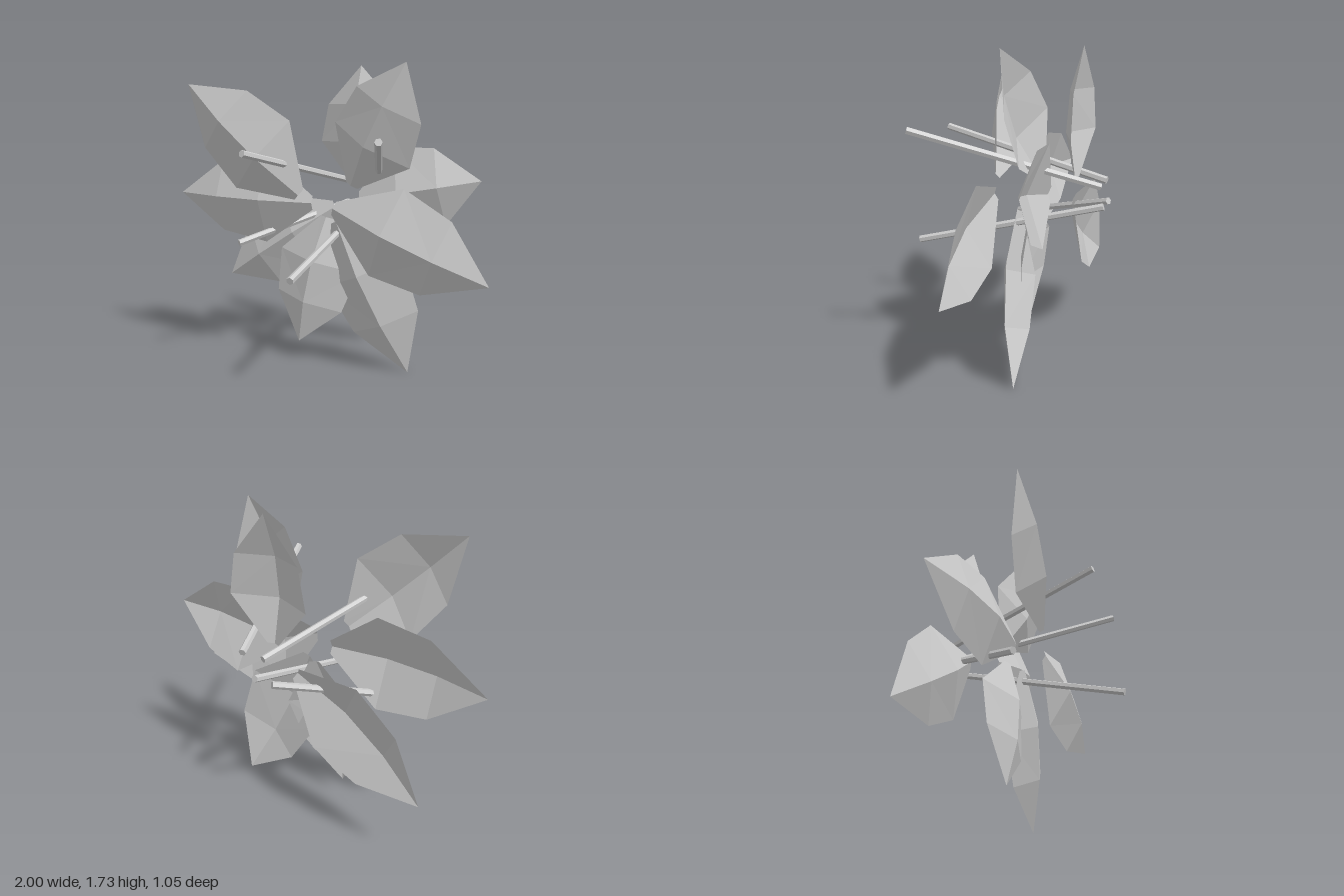
import * as THREE from 'three';

const V = (a) => new THREE.Vector3(...a);
const grey = new THREE.MeshStandardMaterial({ color: 0xcccccc, side: THREE.DoubleSide, flatShading: true });
grey.name = 'plainGrey';

// Each petal: base point, tip point
const PETALS = [
  [[-0.03, 1.01, 0.12], [-0.67, 1.61, 0.25]],
  [[-0.04, 0.945, -0.045], [-1.0, 0.95, -0.06]],
  [[-0.04, 0.89, -0.33], [-0.81, 0.39, -0.31]],
  [[0.02, 0.86, -0.11], [-0.13, 0.115, -0.045]],
  [[0.11, 0.85, -0.06], [0.51, 0.0, -0.17]],
  [[0.15, 0.94, 0.055], [1.0, 0.595, 0.0]],
  [[0.16, 0.96, -0.25], [0.85, 1.09, -0.32]],
  [[0.13, 1.04, -0.2], [0.495, 1.715, -0.1]],
  [[0.08, 1.04, -0.37], [0.09, 1.725, -0.4]],
];

// Cross-sections along a petal: position, half width, edge depth, ridge height
const SECTIONS = [
  [0, 0.04, -0.005, 0.01],
  [0.345, 0.262, -0.027, 0.07],
  [0.67, 0.217, -0.015, 0.06],
  [1, 0, 0, 0],
];

// Each stem: front end, back end
const STEMS = [
  [[-0.43, 0.705, 0.125], [-0.045, 0.9, -0.52]],
  [[-0.155, 1.25, 0.47], [0.012, 1.025, -0.52]],
  [[0.158, 0.638, 0.52], [0.078, 0.895, -0.52]],
  [[0.555, 1.32, 0.37], [0.16, 1.02, -0.52]],
];

// Folded sheet with a raised ridge down its middle
function petal([b, t]) {
  const base = V(b), tip = V(t);
  const dir = tip.clone().sub(base).normalize();
  const side = dir.clone().cross(new THREE.Vector3(0, 0, 1)).normalize();
  const out = side.clone().cross(dir);
  const rows = SECTIONS.map(([s, w, edge, ridge]) => [-1, 0, 1].map((k) =>
    base.clone().lerp(tip, s).addScaledVector(side, k * w).addScaledVector(out, k ? edge : ridge)));
  const pts = [];
  for (let i = 0; i < rows.length - 1; i++) {
    for (let j = 0; j < 2; j++) {
      const a = rows[i][j], c = rows[i][j + 1], d = rows[i + 1][j + 1], e = rows[i + 1][j];
      if (i === rows.length - 2) pts.push(a, c, d);
      else if (j === 0) pts.push(a, c, d, a, d, e);
      else pts.push(a, c, e, c, d, e);
    }
  }
  const geo = new THREE.BufferGeometry().setFromPoints(pts);
  geo.computeVertexNormals();
  return new THREE.Mesh(geo, grey);
}

// Straight six-sided rod between two points
function stem([f, b]) {
  const front = V(f), back = V(b);
  const axis = front.clone().sub(back);
  const mesh = new THREE.Mesh(new THREE.CylinderGeometry(0.02, 0.02, axis.length(), 6), grey);
  mesh.position.copy(front).add(back).multiplyScalar(0.5);
  mesh.quaternion.setFromUnitVectors(new THREE.Vector3(0, 1, 0), axis.normalize());
  return mesh;
}

export function createModel() {
  const flower = new THREE.Group();
  flower.name = 'flower';
  PETALS.forEach((p, i) => {
    const m = petal(p);
    m.name = `petal${i + 1}`;
    flower.add(m);
  });
  STEMS.forEach((s, i) => {
    const m = stem(s);
    m.name = `stamen${i + 1}`;
    flower.add(m);
  });
  return flower;
}
